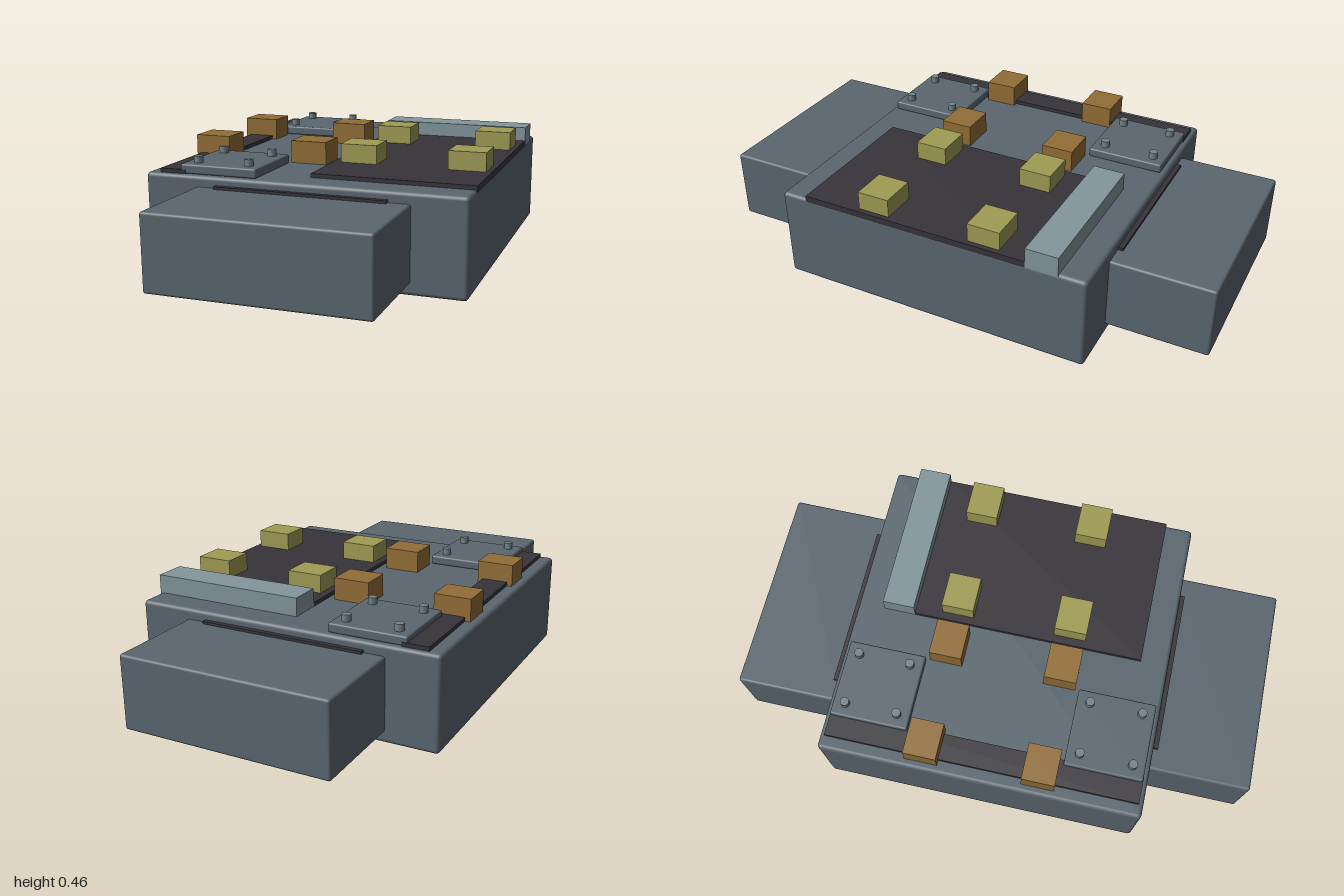
import * as THREE from 'three';
import { RoundedBoxGeometry } from 'three/addons/geometries/RoundedBoxGeometry.js';

export function createModel() {
  const model = new THREE.Group();
  const material = (name, color) => {
    const m = new THREE.MeshStandardMaterial({ color });
    m.name = name;
    return m;
  };
  const steel = material('slate steel', 0x5a6670);
  const dark = material('dark rubber', 0x37343a);
  const brown = material('ochre brown', 0x936e36);
  const yellow = material('dull yellow', 0xa09c54);
  const pale = material('pale blue grey', 0x83969c);
  const bolt = material('bolt grey', 0x74838b);

  const add = (name, geometry, mat, x, y, z) => {
    const mesh = new THREE.Mesh(geometry, mat);
    mesh.name = name;
    mesh.position.set(x, y, z);
    model.add(mesh);
    return mesh;
  };
  // Box given by its limits; a radius rounds the edges
  const box = (name, mat, [x0, x1], [y0, y1], [z0, z1], radius = 0) => {
    const size = [x1 - x0, y1 - y0, z1 - z0];
    const geometry = radius
      ? new RoundedBoxGeometry(...size, 3, radius)
      : new THREE.BoxGeometry(...size);
    return add(name, geometry, mat, (x0 + x1) / 2, (y0 + y1) / 2, (z0 + z1) / 2);
  };
  const span = (a, b, s) => (s > 0 ? [a, b] : [-b, -a]);

  // Main hull
  box('hull', steel, [-0.6, 0.6], [0.016, 0.375], [-0.618, 0.618], 0.015);

  // Deck coverings
  box('deckPanel', dark, [0, 0.6], [0.365, 0.39], [-0.39, 0.51]);
  box('sideStrip', dark, [-0.55, -0.45], [0.365, 0.39], [-0.6, 0.6]);
  box('crossBar', pale, [0, 0.601], [0.367, 0.445], [-0.513, -0.39]);

  // Parts mirrored front and back
  const boltGeometry = new THREE.CylinderGeometry(0.017, 0.017, 0.035, 16);
  for (const s of [1, -1]) {
    box('endBlock', steel, [-0.4, 0.4], [0.057, 0.335], span(0.59, 1, s), 0.01);
    box('endSeal', dark, [-0.32, 0.32], [0.325, 0.345], span(0.6, 0.637, s));
    box('skid', dark, [-0.425, 0.425], [0, 0.025], span(0.43, 0.478, s));

    // Bolted hatch plate
    box('hatchPlate', steel, [-0.47, -0.172], [0.375, 0.41], span(0.3, 0.598, s), 0.007);
    for (const x of [-0.42, -0.22])
      for (const z of [0.35, 0.55]) add('hatchBolt', boltGeometry, bolt, x, 0.418, z * s);

    // Deck blocks
    for (const x of [-0.5, -0.1])
      box('brownBlock', brown, [x - 0.07, x + 0.07], [0.37, 0.46], span(0.16, 0.285, s));
    for (const x of [0.1, 0.51])
      box('yellowBlock', yellow, [x - 0.07, x + 0.07], [0.37, 0.46], span(0.16, 0.285, s));
  }
  return model;
}
